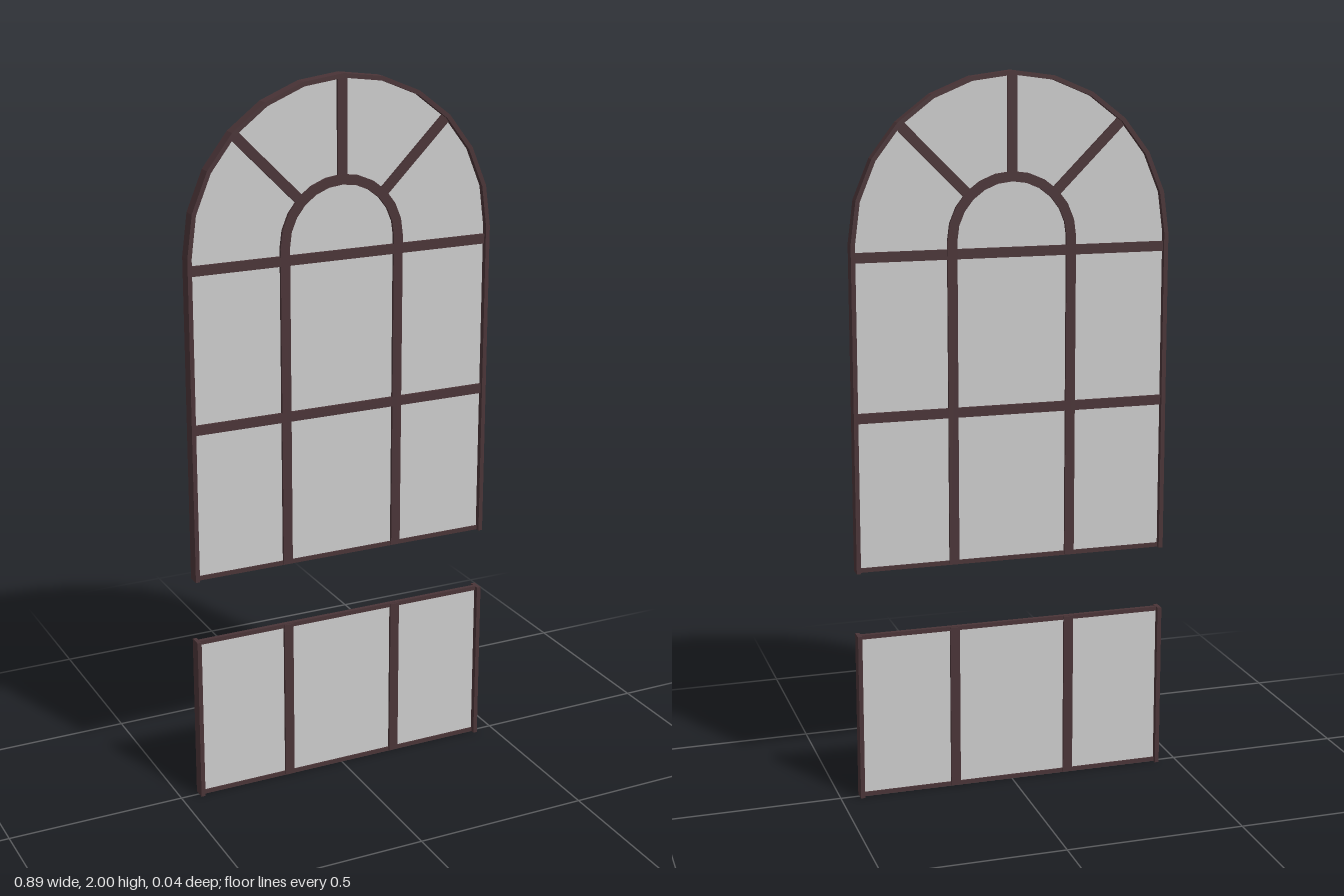
import * as THREE from 'three';

const HALF = 0.446, EDGE = 0.012, DEPTH = 0.036;  // outer frame
const BAR = 0.027, BAR_DEPTH = 0.02;              // glazing bars
const BAR_X = 0.167, SPRING = 1.554;              // bar position, arch centre height
const UPPER = 0.655, LOWER_TOP = 0.475;

const wood = new THREE.MeshStandardMaterial({ color: 0x4a3437, flatShading: true });
const glass = new THREE.MeshStandardMaterial({ color: 0xcccccc });

// Points of a half circle from right to left, in flat segments
function arc(r, segments) {
  return Array.from({ length: segments + 1 }, (_, i) => {
    const a = (Math.PI * i) / segments;
    return new THREE.Vector2(r * Math.cos(a), SPRING + r * Math.sin(a));
  });
}

// Round-headed outline standing on y = base
function archOutline(r, base, segments) {
  return [new THREE.Vector2(r, base), ...arc(r, segments), new THREE.Vector2(-r, base)];
}

export function createModel() {
  const model = new THREE.Group();

  const add = (parent, name, geometry, material = wood) => {
    const mesh = new THREE.Mesh(geometry, material);
    mesh.name = name;
    parent.add(mesh);
    return mesh;
  };
  const box = (parent, name, w, h, d, x, y, material) => {
    const mesh = add(parent, name, new THREE.BoxGeometry(w, h, d), material);
    mesh.position.set(x, y, 0);
    return mesh;
  };
  const slab = (parent, name, points, depth, material) => {
    const geometry = new THREE.ExtrudeGeometry(new THREE.Shape(points), { depth, bevelEnabled: false });
    geometry.translate(0, 0, -depth / 2);
    return add(parent, name, geometry, material);
  };
  const archBand = (parent, name, outer, inner, base, segments, depth) =>
    slab(parent, name, [...archOutline(outer, base, segments), ...archOutline(inner, base, segments).reverse()], depth);

  // Upper window: arched frame, sill and pane
  const upper = new THREE.Group();
  upper.name = 'upperWindow';
  model.add(upper);
  archBand(upper, 'archedFrame', HALF, HALF - EDGE, UPPER, 12, DEPTH);
  box(upper, 'bottomRail', 2 * (HALF - EDGE), EDGE, 0.012, 0, UPPER + EDGE / 2);
  slab(upper, 'archedPane', archOutline(HALF - EDGE / 2, UPPER + 0.002, 12), 0.004, glass);

  // Inner arch continuing down as two upright bars
  archBand(upper, 'innerArch', BAR_X + BAR / 2, BAR_X - BAR / 2, UPPER + 0.002, 12, BAR_DEPTH);
  for (const y of [1.085, 1.518]) {
    box(upper, 'crossBar', 2 * (HALF - EDGE / 2), BAR, BAR_DEPTH - 0.001, 0, y);
  }

  // Spokes fanning from the inner arch to the frame
  for (const a of [45, 90, 135].map(THREE.MathUtils.degToRad)) {
    const r0 = BAR_X, r1 = HALF - EDGE / 2, mid = (r0 + r1) / 2;
    const spoke = box(upper, 'spoke', r1 - r0, BAR, BAR_DEPTH - 0.001, mid * Math.cos(a), SPRING + mid * Math.sin(a));
    spoke.rotation.z = a;
  }

  // Lower window: posts, thin rails, two upright bars and pane
  const lower = new THREE.Group();
  lower.name = 'lowerWindow';
  model.add(lower);
  box(lower, 'pane', 2 * HALF - EDGE, LOWER_TOP - 0.004, 0.004, 0, LOWER_TOP / 2, glass);
  for (const side of [-1, 1]) {
    box(lower, 'sidePost', EDGE, LOWER_TOP, DEPTH, side * (HALF - EDGE / 2), LOWER_TOP / 2);
    box(lower, 'uprightBar', BAR, LOWER_TOP - 0.004, BAR_DEPTH, side * BAR_X, LOWER_TOP / 2);
  }
  for (const y of [EDGE / 2, LOWER_TOP - EDGE / 2]) {
    box(lower, 'rail', 2 * (HALF - EDGE), EDGE, 0.012, 0, y);
  }

  return model;
}
